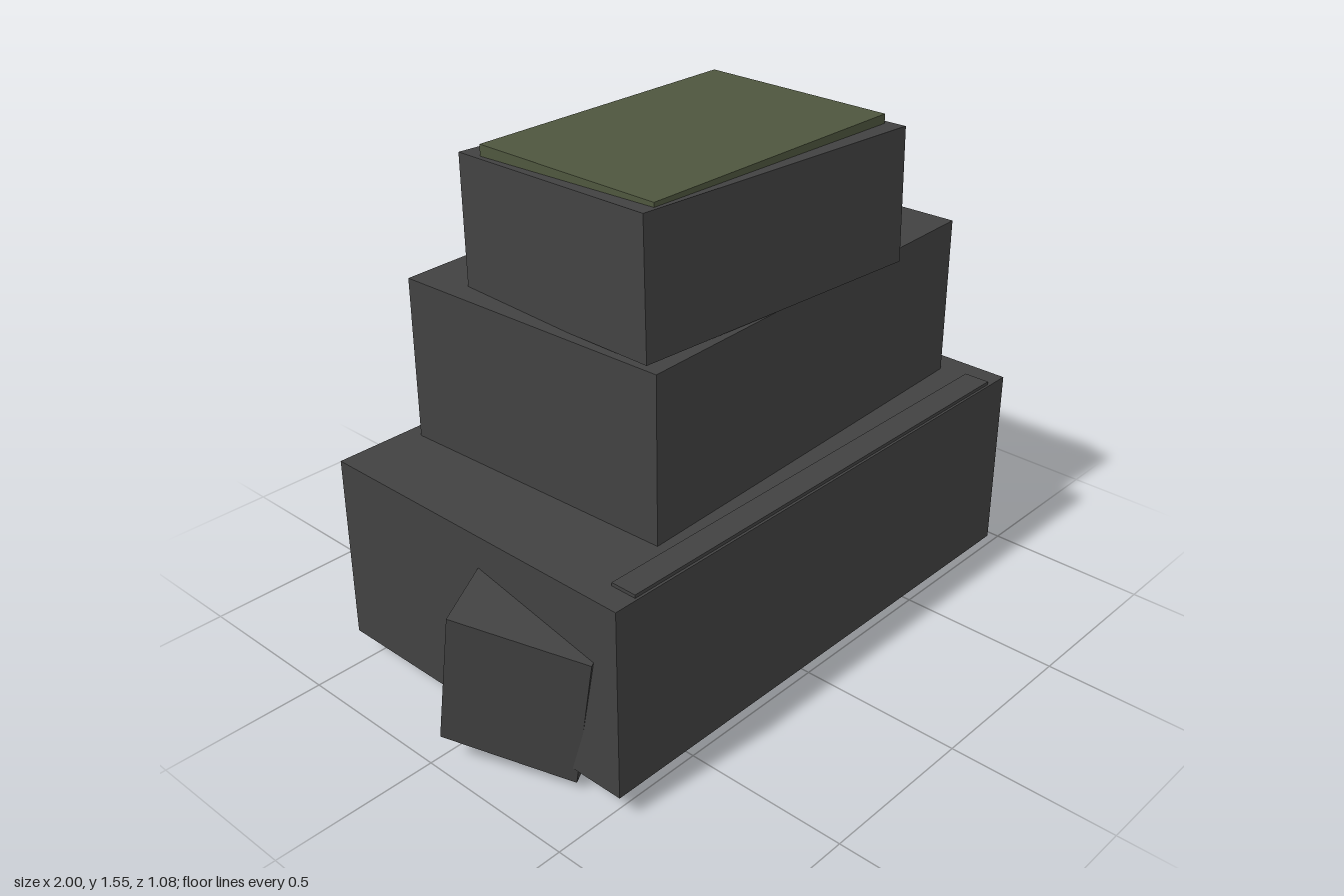
import * as THREE from 'three';

export function createModel() {
  const model = new THREE.Group();
  model.name = 'stackedBlocks';

  const charcoal = new THREE.MeshStandardMaterial({ color: 0x424242 });
  charcoal.name = 'charcoal';
  const olive = new THREE.MeshStandardMaterial({ color: 0x4e563e });
  olive.name = 'olive';

  // Box given by size, centre and rotation
  function block(name, size, centre, material = charcoal, rotation = [0, 0, 0]) {
    const mesh = new THREE.Mesh(new THREE.BoxGeometry(...size), material);
    mesh.name = name;
    mesh.position.set(...centre);
    mesh.rotation.set(...rotation);
    model.add(mesh);
  }

  // Tilted box given by one corner, two edges leaving it, and a depth along their cross product
  function tiltedBlock(name, corner, edgeA, edgeB, depth) {
    const a = new THREE.Vector3(...edgeA);
    const b = new THREE.Vector3(...edgeB);
    const lengthA = a.length();
    const lengthB = b.length();
    const n = a.clone().cross(b).normalize();
    a.normalize();
    b.crossVectors(n, a).normalize();
    const mesh = new THREE.Mesh(new THREE.BoxGeometry(lengthA, lengthB, depth), charcoal);
    mesh.name = name;
    mesh.quaternion.setFromRotationMatrix(new THREE.Matrix4().makeBasis(a, b, n));
    mesh.position.set(...corner)
      .addScaledVector(a, lengthA / 2)
      .addScaledVector(b, lengthB / 2)
      .addScaledVector(n, depth / 2);
    model.add(mesh);
  }

  // Three stacked tiers, the upper two slightly turned
  block('baseTier', [1.69, 0.573, 1.075], [0.027, 0.3635, -0.002]);
  block('middleTier', [1.33, 0.5, 0.9], [0.11, 0.89, -0.065], charcoal, [0, 0.037, 0]);
  block('topTier', [0.975, 0.39, 0.7], [-0.025, 1.326, 0.041], charcoal, [-0.033, -0.05, -0.016]);

  // Thin ledge along the front of the base and the coloured lid
  block('frontLedge', [1.54, 0.04, 0.08], [0.027, 0.64, 0.488]);
  block('lidPlate', [0.91, 0.06, 0.618], [-0.024, 1.521, 0.041], olive);

  // Tilted blocks poking out of the sides
  tiltedBlock('leftSideBlock', [0.995, 0.355, -0.34], [-0.12, -0.355, 0.04], [-0.1, 0.07, 0.31], 0.34);
  tiltedBlock('rightSideBlock', [-1, 0.525, 0.115], [0.17, -0.065, 0.345], [0.02, -0.435, -0.095], 0.42);

  return model;
}
